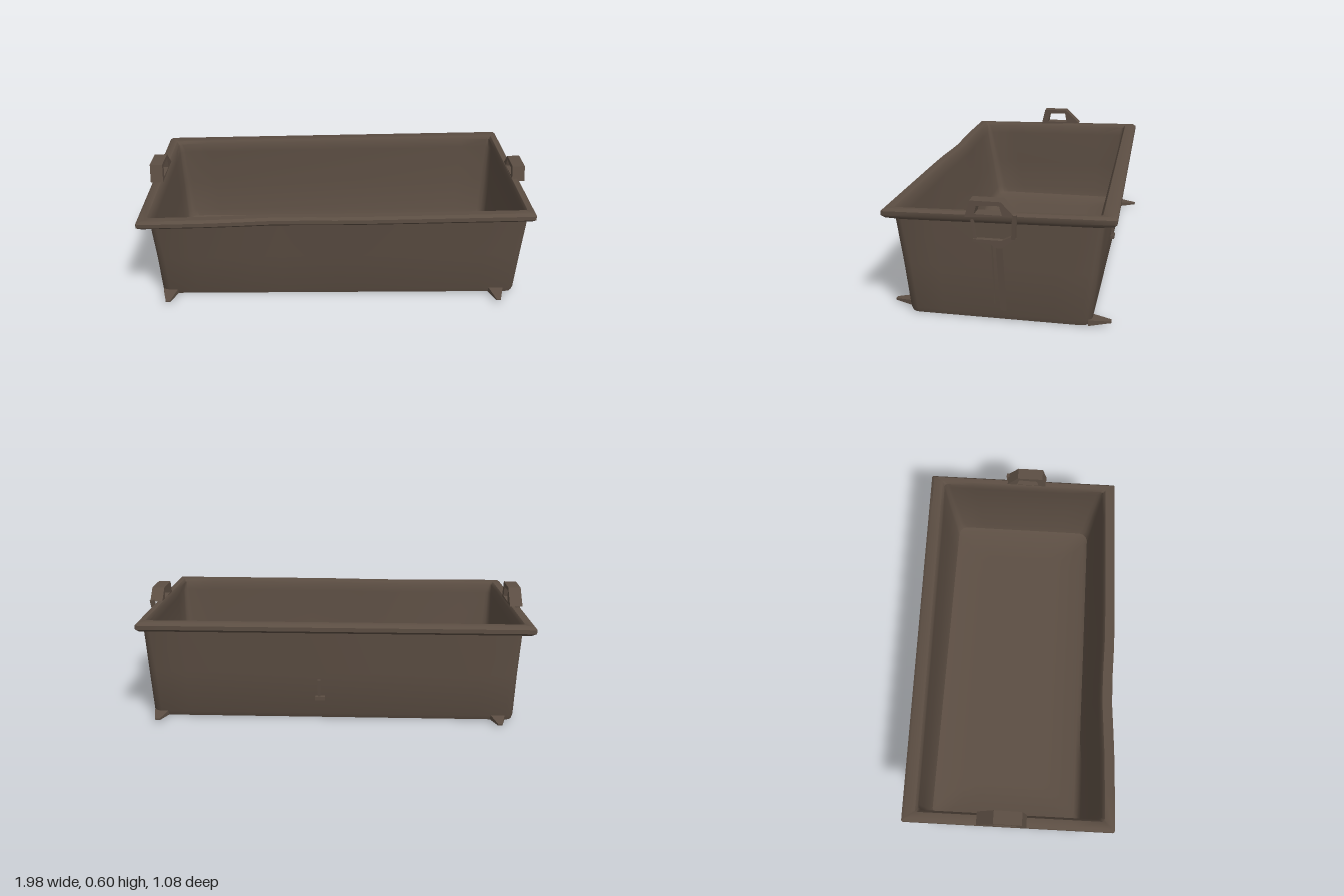
import * as THREE from 'three';
import { toCreasedNormals } from 'three/addons/utils/BufferGeometryUtils.js';

const iron = new THREE.MeshStandardMaterial({ color: 0x5c4e43, side: THREE.DoubleSide });
iron.name = 'weathered iron';

// Battered shape: the walls skew, the rim tilts and the front is pushed in left of centre
function batter(x, y, z) {
  const h = y / 0.5;
  const dent = z > 0.3 ? 0.014 * Math.exp(-(((x + 0.3) / 0.22) ** 2)) : 0;
  return [
    x + 0.012 * z * h,
    y + h * (0.007 * x - 0.016 * z),
    z - (0.021 * x + dent) * h
  ];
}

// Rounded rectangle, running from front left to front right, then back
function ring([x0, x1, zb, zf, y, r]) {
  const corners = [
    [x1 - r, zf - r, Math.PI / 2], [x1 - r, zb + r, 0],
    [x0 + r, zb + r, -Math.PI / 2], [x0 + r, zf - r, -Math.PI]
  ];
  const pts = [];
  corners.forEach(([cx, cz, a], k) => {
    for (let i = 0; i <= 3; i++) {
      const t = a - (i / 3) * Math.PI / 2;
      pts.push([cx + r * Math.cos(t), y, cz + r * Math.sin(t)]);
    }
    const [nx, nz, na] = corners[(k + 1) % 4];
    const p = pts[pts.length - 1];
    const q = [nx + r * Math.cos(na), y, nz + r * Math.sin(na)];
    const n = k % 2 ? 12 : 6;
    for (let i = 1; i < n; i++) pts.push(p.map((v, j) => v + (q[j] - v) * i / n));
  });
  return pts;
}

function makeTub() {
  // left, right, back, front, height, corner radius: up the outside, over the rim, down inside
  const sections = [
    [-0.922, 0.912, -0.43, 0.4, 0.006, 0.04],
    [-0.928, 0.919, -0.44, 0.408, 0.03, 0.045],
    [-0.932, 0.928, -0.455, 0.437, 0.25, 0.045],
    [-0.938, 0.934, -0.468, 0.468, 0.465, 0.035],
    [-0.975, 0.945, -0.508, 0.508, 0.473, 0.01],
    [-0.99, 0.955, -0.522, 0.521, 0.485, 0.008],
    [-0.99, 0.955, -0.522, 0.521, 0.505, 0.008],
    [-0.975, 0.943, -0.507, 0.508, 0.517, 0.008],
    [-0.942, 0.918, -0.458, 0.47, 0.515, 0.01],
    [-0.93, 0.91, -0.447, 0.458, 0.5, 0.014],
    [-0.926, 0.92, -0.448, 0.453, 0.45, 0.03],
    [-0.92, 0.916, -0.438, 0.425, 0.25, 0.04],
    [-0.913, 0.906, -0.422, 0.4, 0.07, 0.045],
    [-0.903, 0.898, -0.41, 0.388, 0.035, 0.05],
    [-0.88, 0.875, -0.385, 0.365, 0.023, 0.05],
    [-0.7, 0.7, -0.22, 0.2, 0.021, 0.05]
  ];
  const rings = sections.map(ring);
  const n = rings[0].length, last = (rings.length - 1) * n;
  const pos = rings.flat().flatMap(p => batter(...p));
  const idx = [];
  for (let j = 0; j < rings.length - 1; j++) {
    for (let i = 0; i < n; i++) {
      const k = (i + 1) % n, a = j * n, b = a + n;
      idx.push(a + i, a + k, b + k, a + i, b + k, b + i);
    }
  }
  // underside and basin floor
  const under = pos.length / 3;
  pos.push(0, 0.004, 0, 0, 0.021, 0);
  for (let i = 0; i < n; i++) {
    const k = (i + 1) % n;
    idx.push(k, i, under, last + i, last + k, under + 1);
  }
  const g = new THREE.BufferGeometry();
  g.setAttribute('position', new THREE.Float32BufferAttribute(pos, 3));
  g.setIndex(idx);
  return toCreasedNormals(g, 0.75);
}

function add(parent, name, geometry) {
  const m = new THREE.Mesh(geometry, iron);
  m.name = name;
  parent.add(m);
  return m;
}

// Plate drawn in z and y, from x to x + depth on the side s
function sidePlate(s, outline, holes, x, depth) {
  const v = ([z, y]) => new THREE.Vector2(-z, y);
  const shape = new THREE.Shape(outline.map(v));
  shape.holes = holes.map(h => new THREE.Path(h.map(v)));
  const g = new THREE.ExtrudeGeometry(shape, { depth, bevelEnabled: false });
  return g.rotateY(Math.PI / 2).translate(s > 0 ? x : -x - depth, 0, 0);
}

// Square bar between two points
function bar(a, b, w, d) {
  const p = new THREE.Vector3(...a), q = new THREE.Vector3(...b);
  const dir = q.clone().sub(p);
  const g = new THREE.BoxGeometry(d, dir.length(), w);
  g.applyQuaternion(new THREE.Quaternion().setFromUnitVectors(new THREE.Vector3(0, 1, 0), dir.normalize()));
  return g.translate(...p.add(q).multiplyScalar(0.5).toArray());
}

// Handle on the side s; top is the height of its grip, back the end of its grip, x its inner face
function makeHandle(name, s, top, back, x) {
  const h = new THREE.Group();
  h.name = name;
  // grip arch standing on the rim
  add(h, 'gripArch', sidePlate(s,
    [[0.11, 0.51], [0.088, top], [-0.05, top], [back, 0.522]],
    [[[0.068, 0.525], [0.058, top - 0.022], [-0.043, top - 0.018], [-0.055, 0.525]]], x, 0.065));
  // hanging frame beneath the rim
  add(h, 'frameBase', sidePlate(s,
    [[0.08, 0.405], [0.08, 0.393], [0, 0.385], [-0.015, 0.37], [-0.05, 0.37], [-0.11, 0.415], [-0.1, 0.43], [-0.05, 0.405]],
    [], 0.945, 0.025));
  add(h, 'frameBarBack', bar([s * 0.96, 0.415, -0.1], [s * 0.975, 0.53, -0.108], 0.018, 0.022));
  add(h, 'frameBarFront', bar([s * 0.955, 0.395, 0.07], [s * 0.955, 0.49, 0.085], 0.012, 0.016));
  // strap down the end wall
  add(h, 'strap', bar([s * 0.923, 0.055, -0.043], [s * 0.958, 0.39, -0.033], 0.026, 0.014));
  add(h, 'strapEdge', bar([s * 0.923, 0.08, -0.004], [s * 0.952, 0.39, 0], 0.005, 0.008));
  return h;
}

export function createModel() {
  const model = new THREE.Group();
  model.name = 'trough';
  add(model, 'tub', makeTub());
  model.add(
    makeHandle('leftHandle', 1, 0.585, -0.11, 0.92),
    makeHandle('rightHandle', -1, 0.602, -0.135, 0.928)
  );

  // flat tapering feet sticking out at the bottom corners
  for (const [x, z] of [[0.82, 0.45], [-0.88, 0.45], [0.875, -0.475], [-0.845, -0.475]]) {
    const g = new THREE.CylinderGeometry(0.016, 0.055, 0.1, 4).toNonIndexed();
    g.rotateY(Math.PI / 4).rotateX(Math.sign(z) * Math.PI / 2).scale(1, 0.35, 1);
    g.computeVertexNormals();
    add(model, 'foot', g).position.set(x, 0.02, z);
  }

  // small hook on the back wall
  add(model, 'hookStem', bar([0.06, 0.11, -0.448], [0.06, 0.22, -0.458], 0.018, 0.014));
  add(model, 'hookFoot', bar([0.03, 0.12, -0.455], [0.08, 0.12, -0.455], 0.02, 0.02));
  return model;
}
